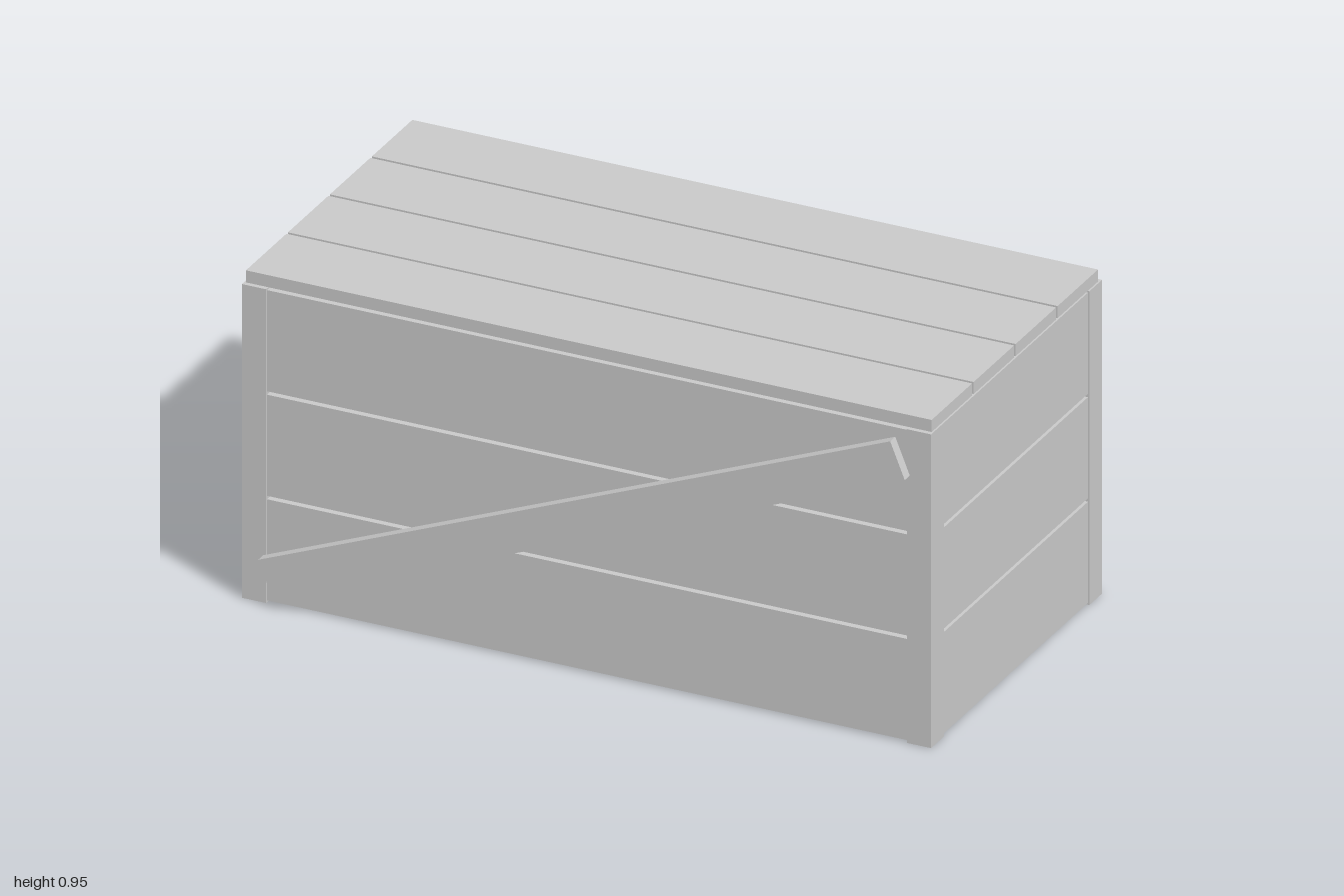
import * as THREE from 'three';

export function createModel() {
  const crate = new THREE.Group();
  crate.name = 'crate';
  const wood = new THREE.MeshStandardMaterial({ color: 0xc8c8c8 });
  wood.name = 'pale grey wood';

  // One board, given its size and centre
  const board = (name, size, centre) => {
    const mesh = new THREE.Mesh(new THREE.BoxGeometry(...size), wood);
    mesh.name = name;
    mesh.position.set(...centre);
    crate.add(mesh);
    return mesh;
  };

  const postTop = 0.912;
  const thick = 0.036;

  // Corner posts, standing slightly proud of the wall planks
  for (const sx of [-1, 1]) {
    for (const sz of [-1, 1]) {
      board('cornerPost', [0.07, postTop, 0.075], [sx * 0.965, postTop / 2, sz * 0.4675]);
    }
  }

  // Three planks on each wall, separated by narrow open gaps
  for (let i = 0; i < 3; i++) {
    const y = 0.1525 + i * 0.304;
    for (const s of [-1, 1]) {
      board('longWallPlank', [1.86, 0.294, thick], [0, y, s * (0.5 - thick / 2)]);
      board('endWallPlank', [thick, 0.294, 0.86], [s * (0.996 - thick / 2), y, 0]);
    }
  }

  // Four lid planks
  for (let i = 0; i < 4; i++) {
    board('lidPlank', [1.99, 0.035, 0.239], [0, postTop + 0.0175, (i - 1.5) * 0.248]);
  }

  // Diagonal braces, each rising to the right as seen from outside
  for (const s of [-1, 1]) {
    const brace = board('diagonalBrace', [1.98, 0.112, 0.03], [0, 0.458, s * 0.52]);
    brace.rotation.z = s * 0.386;
  }

  return crate;
}
